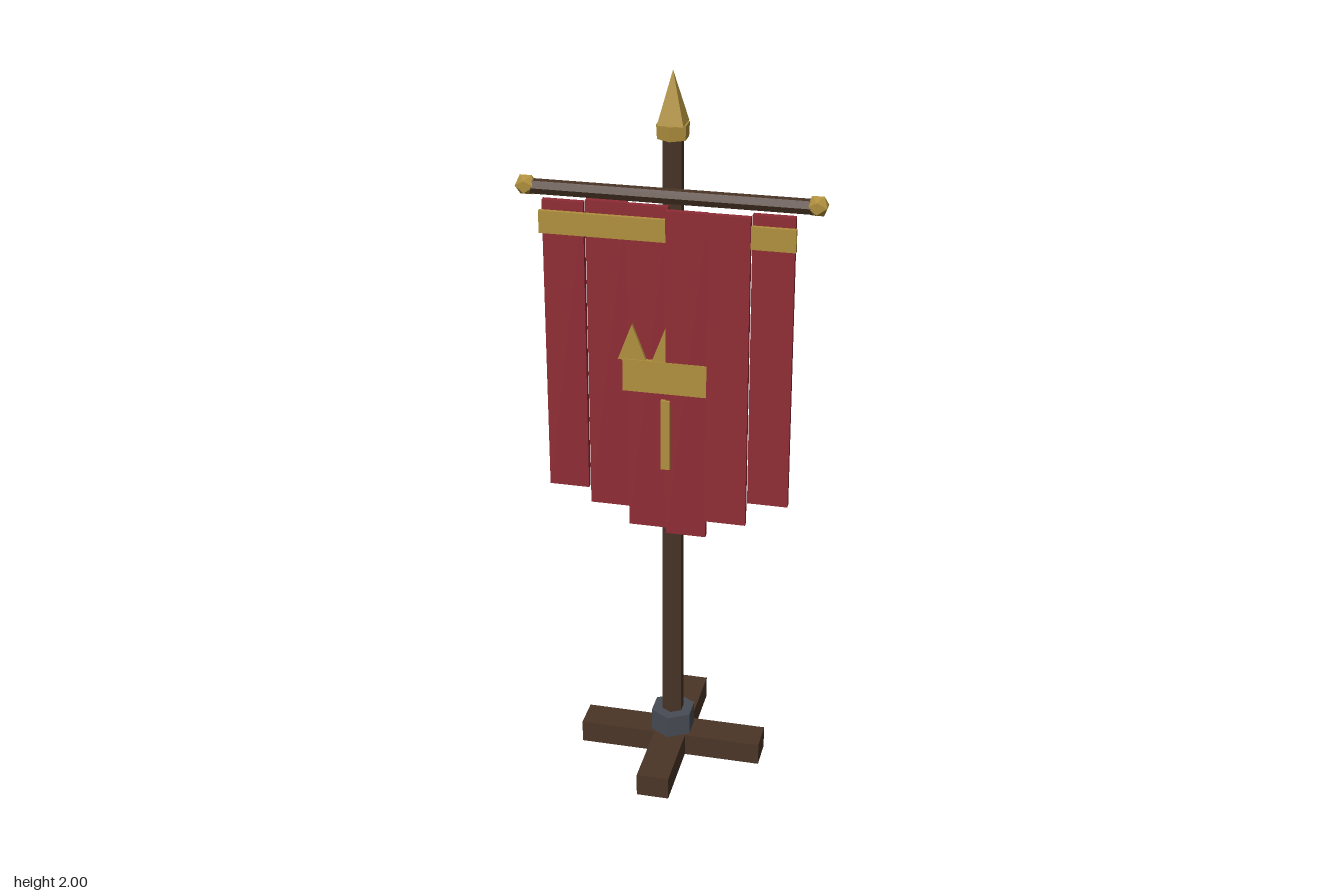
import * as THREE from 'three';

const mat = (color) => new THREE.MeshStandardMaterial({ color, flatShading: true });

export function createModel() {
  const model = new THREE.Group();
  model.name = 'bannerStand';
  const wood = mat(0x4a3527), iron = mat(0x474c54), gold = mat(0xb0903e), cloth = mat(0x8f2c35);

  const add = (name, geometry, material, x, y, z, parent = model) => {
    const mesh = new THREE.Mesh(geometry, material);
    mesh.name = name;
    mesh.position.set(x, y, z);
    parent.add(mesh);
    return mesh;
  };
  const box = (w, h, d) => new THREE.BoxGeometry(w, h, d);

  // Crossed foot beams and iron socket
  add('footBeamSide', box(0.52, 0.065, 0.09), wood, 0, 0.0325, 0);
  add('footBeamFront', box(0.09, 0.065, 0.52), wood, 0, 0.0325, 0);
  add('socket', new THREE.CylinderGeometry(0.064, 0.064, 0.065, 6), iron, 0, 0.0975, 0);

  // Tapered pole with spear tip
  add('pole', new THREE.CylinderGeometry(0.028, 0.032, 1.77, 6), wood, 0, 0.95, 0);
  add('tipCollar', new THREE.CylinderGeometry(0.044, 0.042, 0.038, 6), gold, 0, 1.847, 0);
  add('spearTip', new THREE.ConeGeometry(0.048, 0.135, 4).rotateY(Math.PI / 4), gold, 0, 1.9325, 0);

  // Crossbar with a faceted knob at each end
  const barZ = 0.037;
  add('crossbar', new THREE.CylinderGeometry(0.02, 0.02, 0.73, 6).rotateZ(Math.PI / 2), wood, 0, 1.687, barZ);
  for (const side of [-1, 1]) {
    add(side > 0 ? 'leftKnob' : 'rightKnob', new THREE.IcosahedronGeometry(0.03, 0), gold, side * 0.375, 1.69, barZ);
  }

  // Cloth strips: rippled in depth, longest in the middle
  const banner = new THREE.Group();
  banner.name = 'banner';
  model.add(banner);
  const top = 1.665, width = 0.1085;
  const depths = [0.062, 0.042, 0.051, 0.08, 0.083, 0.058];
  const bottoms = [0.855, 0.80, 0.75];
  depths.forEach((z, i) => {
    const bottom = bottoms[Math.min(i, 5 - i)];
    add('clothStrip' + (i + 1), box(width, top - bottom, 0.016), cloth,
      (i - 2.5) * width, (top + bottom) / 2, z, banner);
  });

  // Gold trim band running through the ripples
  add('trimBand', box(0.662, 0.06, 0.012), gold, 0, 1.61, 0.0795, banner);

  // Crown emblem: band, three flat points and a stem
  const emblem = new THREE.Group();
  emblem.name = 'emblem';
  banner.add(emblem);
  add('emblemBand', box(0.23, 0.09, 0.012), gold, 0, 1.208, 0.083, emblem);
  const point = new THREE.Shape([
    new THREE.Vector2(-0.038, 0), new THREE.Vector2(0.038, 0), new THREE.Vector2(0, 0.1),
  ]);
  const pointGeometry = new THREE.ExtrudeGeometry(point, { depth: 0.01, bevelEnabled: false });
  for (const x of [-0.09, 0, 0.09]) add('emblemPoint', pointGeometry, gold, x, 1.25, 0.076, emblem);
  add('emblemStem', box(0.025, 0.2, 0.012), gold, 0, 1.045, 0.0885, emblem);

  return model;
}
